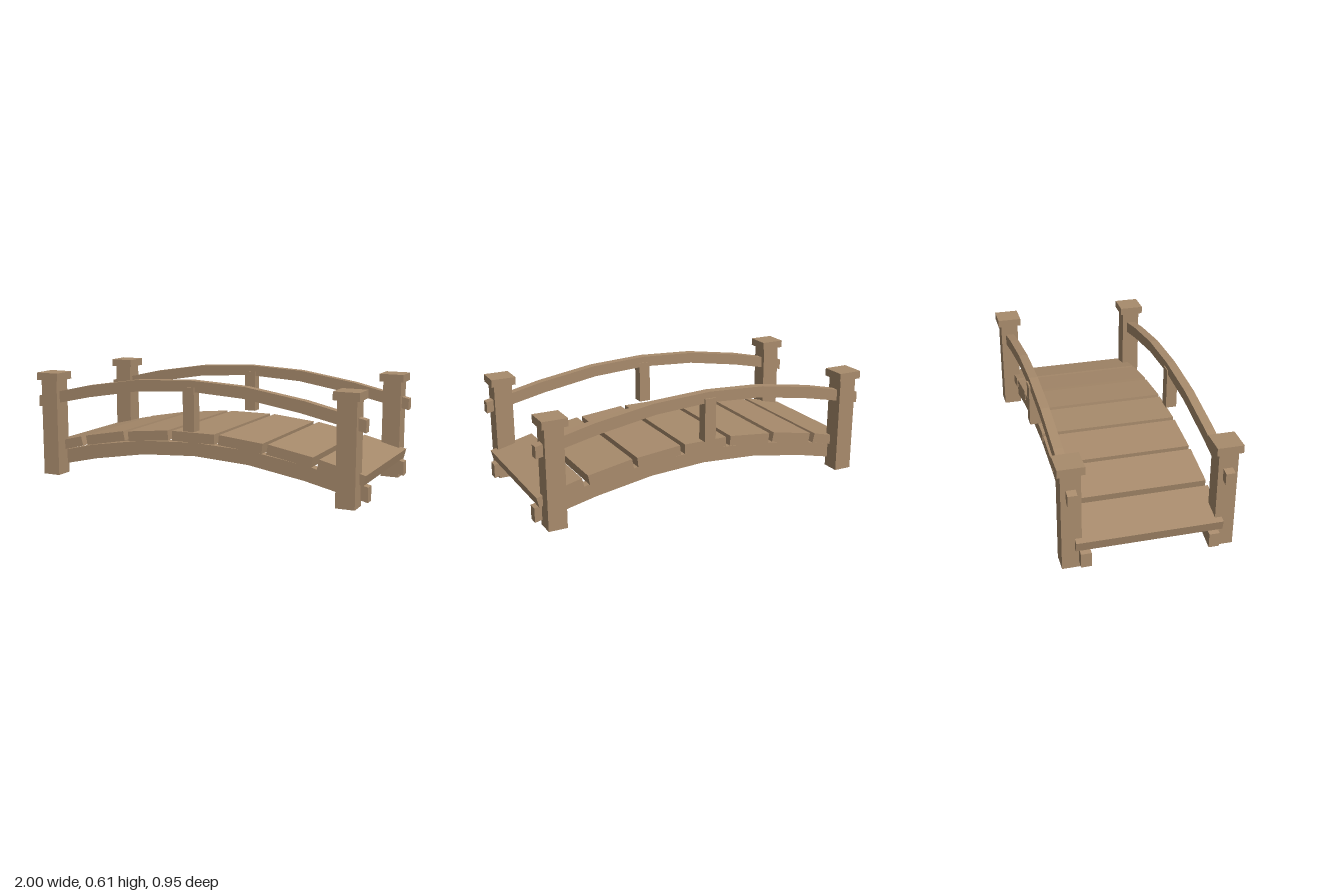
import * as THREE from 'three';

export function createModel() {
  const group = new THREE.Group();
  const wood = new THREE.MeshStandardMaterial({ color: 0xa88b6c });
  wood.name = 'wood';

  const add = (name, geometry, x, y, z, tilt = 0) => {
    const mesh = new THREE.Mesh(geometry, wood);
    mesh.name = name;
    mesh.position.set(x, y, z);
    mesh.rotation.z = tilt;
    group.add(mesh);
  };

  // Arched bar: half profiles run from the centre out to the end, then mirror
  const archBar = (top, bottom, width) => {
    const mirror = (half) => [
      ...half.slice(1).reverse().map(([x, y]) => new THREE.Vector2(-x, y)),
      ...half.map(([x, y]) => new THREE.Vector2(x, y)),
    ];
    const shape = new THREE.Shape([...mirror(bottom), ...mirror(top).reverse()]);
    return new THREE.ExtrudeGeometry(shape, { depth: width, bevelEnabled: false })
      .translate(0, 0, -width / 2);
  };
  const beam = archBar(
    [[0, 0.252], [0.335, 0.235], [0.67, 0.183], [1, 0.104]],
    [[0, 0.176], [0.325, 0.157], [0.65, 0.103], [1, 0.023]], 0.056);
  const rail = archBar(
    [[0, 0.607], [0.335, 0.59], [0.67, 0.537], [1, 0.462]],
    [[0, 0.546], [0.325, 0.527], [0.65, 0.473], [1, 0.397]], 0.05);

  const post = new THREE.BoxGeometry(0.105, 0.56, 0.105);
  const cap = new THREE.BoxGeometry(0.141, 0.044, 0.141);
  const baluster = new THREE.BoxGeometry(0.068, 0.245, 0.064);

  for (const side of [1, -1]) {
    add('supportBeam', beam, 0, 0, side * 0.34);
    add('handrail', rail, 0, 0, side * 0.405);
    add('middleBaluster', baluster, 0, 0.448, side * 0.407);
    for (const end of [1, -1]) {
      add('cornerPost', post, end * 0.907, 0.28, side * 0.405);
      add('postCap', cap, end * 0.907, 0.582, side * 0.405);
    }
  }

  // Deck planks following the arch: [x, y, tilt]
  const plank = new THREE.BoxGeometry(0.26, 0.056, 0.778);
  add('deckPlank', plank, 0, 0.284, 0);
  for (const [x, y, tilt] of [[0.287, 0.271, 0.1], [0.573, 0.234, 0.18], [0.86, 0.172, 0.24]]) {
    for (const end of [1, -1]) add('deckPlank', plank, end * x, y, 0, -end * tilt);
  }
  return group;
}
